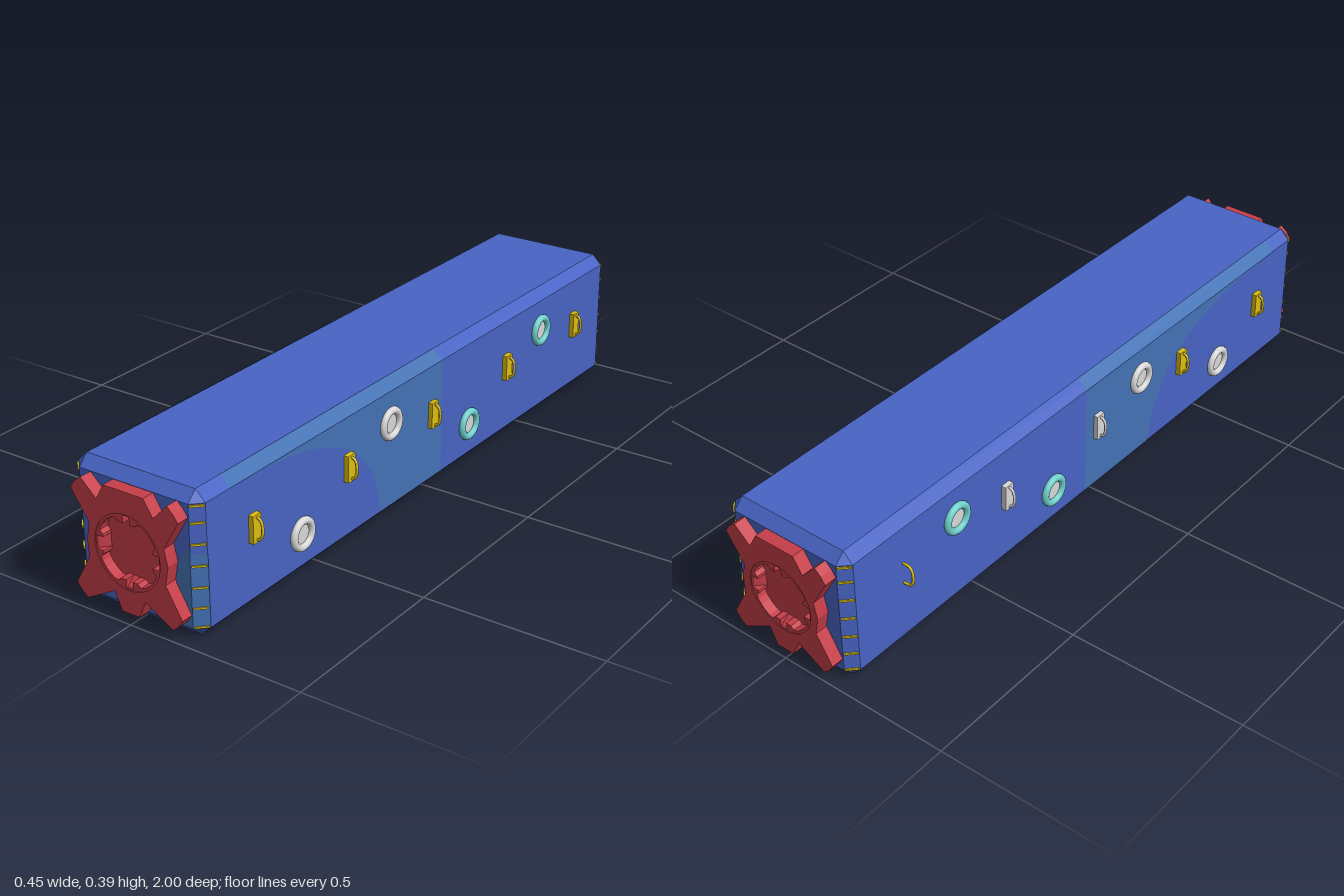
import * as THREE from 'three';
import { ConvexGeometry } from 'three/addons/geometries/ConvexGeometry.js';

const mat = (name, color, side = THREE.FrontSide) => {
  const m = new THREE.MeshStandardMaterial({ color, side });
  m.name = name;
  return m;
};

export function createModel() {
  const blue = mat('blue', 0x4864c4);
  const tealBlue = mat('tealBlue', 0x4472b4, THREE.DoubleSide);
  const red = mat('red', 0xc63e48);
  const yellow = mat('yellow', 0xdcbe10);
  const white = mat('white', 0xd8d8d8);
  const aqua = mat('aqua', 0x70d0cc);

  const model = new THREE.Group();
  model.name = 'container';
  const add = (parent, name, geo, m, x = 0, y = 0, z = 0) => {
    const mesh = new THREE.Mesh(geo, m);
    mesh.name = name;
    mesh.position.set(x, y, z);
    parent.add(mesh);
    return mesh;
  };

  // Body: box with every edge and corner chamfered
  const X = 0.193, Y = 0.192, Z = 0.965, C = 0.028, CY = 0.195;
  const pts = [];
  for (const sx of [-1, 1]) for (const sy of [-1, 1]) for (const sz of [-1, 1]) {
    pts.push(
      new THREE.Vector3(sx * X, sy * (Y - C), sz * (Z - C)),
      new THREE.Vector3(sx * (X - C), sy * Y, sz * (Z - C)),
      new THREE.Vector3(sx * (X - C), sy * (Y - C), sz * Z));
  }
  add(model, 'body', new ConvexGeometry(pts), blue, 0, CY, 0);

  // Tinted paint on the sides and on the chamfers next to them
  const quad = (...p) => {
    const g = new THREE.BufferGeometry().setFromPoints(p.map(a => new THREE.Vector3(...a)));
    g.setIndex([0, 1, 2, 0, 2, 3]);
    g.computeVertexNormals();
    return g;
  };
  const tint = new THREE.Shape();
  tint.moveTo(0.05, 0.032);
  tint.lineTo(0.05, 0.358);
  tint.lineTo(-0.8, 0.358);
  tint.bezierCurveTo(-0.45, 0.36, -0.26, 0.25, -0.24, 0.032);
  const e = 0.0015;
  for (const s of [-1, 1]) {
    const g = new THREE.ShapeGeometry(tint, 16);
    g.rotateY(Math.PI / 2);
    if (s < 0) g.rotateY(Math.PI).scale(1, 1, -1);
    if (s < 0) g.setIndex(Array.from(g.index.array).reverse());
    add(model, 'sideTint', g, tealBlue, s * (X + e), 0, 0);
    const a = [s * (X + e), 0.36], b = [s * (X - C + e), 0.388];
    const q = [[...a, 0.85], [...a, -0.05], [...b, -0.05], [...b, 0.85]];
    add(model, 'edgeTint', quad(...(s > 0 ? q : q.reverse())), tealBlue);
  }
  add(model, 'frontTint', quad([0.1, 0.032, Z + e], [0.165, 0.032, Z + e],
    [0.165, 0.25, Z + e], [0.13, 0.2, Z + e]), tealBlue);
  add(model, 'cornerTint', quad([0.165, 0.032, Z + e], [X + e, 0.032, Z - C],
    [X + e, 0.23, Z - C], [0.165, 0.23, Z + e]), tealBlue);

  // End caps: star-shaped plate, recessed socket and four grooved lugs
  const cy = 0.198;
  const outline = [
    [-0.06, 0.358], [-0.084, 0.315], [-0.13, 0.358], [-0.15, 0.343], [-0.164, 0.322],
    [-0.112, 0.245], [-0.121, 0.2], [-0.119, 0.149], [-0.164, 0.068], [-0.15, 0.049],
    [-0.132, 0.034], [-0.044, 0.082], [-0.023, 0.034], [0.03, 0.034], [0.052, 0.082],
    [0.133, 0.034], [0.15, 0.049], [0.163, 0.069], [0.117, 0.149], [0.127, 0.2],
    [0.117, 0.245], [0.163, 0.324], [0.15, 0.343], [0.132, 0.36], [0.089, 0.315], [0.062, 0.358],
  ].map(p => new THREE.Vector2(...p));
  const plate = new THREE.Shape(outline);
  plate.holes.push(new THREE.Path().absarc(0.003, cy, 0.1, 0, Math.PI * 2, true));

  const lugRing = new THREE.Shape().absarc(0, 0, 0.1005, 0, Math.PI * 2, false);
  const inner = [];
  for (let k = 0; k < 4; k++) {
    const w = k % 2 ? 0.01 : 0.018;
    const lug = [[0.084, -0.035], [0.075, -0.026], [0.075, -w], [0.096, -w],
      [0.096, w], [0.075, w], [0.075, 0.026], [0.084, 0.035]];
    for (let i = 1; i < 5; i++) {
      const t = Math.PI / 4 * (i / 5 - 0.5) * 1.1 + Math.PI / 4;
      lug.push([0.093 * Math.cos(t), 0.093 * Math.sin(t)]);
    }
    for (const p of lug) inner.push(new THREE.Vector2(...p).rotateAround(new THREE.Vector2(), k * Math.PI / 2));
  }
  lugRing.holes.push(new THREE.Path(inner));

  const extrude = (shape, depth) =>
    new THREE.ExtrudeGeometry(shape, { depth, bevelEnabled: false, curveSegments: 24 });
  for (const turn of [0, Math.PI]) {
    const cap = new THREE.Group();
    cap.name = turn ? 'backCap' : 'frontCap';
    cap.rotation.y = turn;
    add(cap, 'starPlate', extrude(plate, 0.045), red, 0, 0, 0.955);
    add(cap, 'lugRing', extrude(lugRing, 0.038), red, 0.003, cy, 0.96);
    add(cap, 'socketFloor', new THREE.CircleGeometry(0.1, 40), red, 0.003, cy, 0.97);
    for (let k = 0; k < 4; k++) {
      // Sloping floor inside each lug groove
      const w = k % 2 ? 0.01 : 0.018;
      const ramp = new THREE.Shape([[0.075, 0.97], [0.097, 0.97], [0.097, 0.995]]
        .map(p => new THREE.Vector2(...p)));
      const g = extrude(ramp, 2 * w);
      g.translate(0, 0, -w).rotateX(Math.PI / 2).rotateZ(k * Math.PI / 2);
      add(cap, 'grooveRamp', g, red, 0.003, cy, 0);
    }
    model.add(cap);
  }

  // Hinge strips across the four vertical chamfers
  for (const sx of [-1, 1]) for (const sz of [-1, 1]) {
    for (const y of [0.036, 0.087, 0.141, 0.198, 0.254, 0.31, 0.354]) {
      const strip = add(model, 'hingeStrip', new THREE.BoxGeometry(0.036, 0.005, 0.008), yellow,
        sx * (X - C / 2), y, sz * (Z - C / 2));
      strip.rotation.y = sx * sz * Math.PI / 4;
    }
  }

  // Side fittings
  const loopPath = new THREE.CatmullRomCurve3([
    [0, -0.03], [0.02, -0.028], [0.028, -0.016], [0.028, 0.016], [0.02, 0.028], [0, 0.03],
  ].map(([x, y]) => new THREE.Vector3(x, y, 0)));
  const loopGeo = new THREE.TubeGeometry(loopPath, 20, 0.004, 6);
  const ringGeo = new THREE.TorusGeometry(0.036, 0.0105, 10, 32);
  ringGeo.rotateY(Math.PI / 2);

  for (const s of [-1, 1]) {
    const side = new THREE.Group();
    side.name = s > 0 ? 'leftFittings' : 'rightFittings';
    // Round portholes
    [[0.58, 0.12, white], [0.195, 0.27, white], [-0.19, 0.12, aqua], [-0.575, 0.27, aqua]]
      .forEach(([z, y, m]) => {
        add(side, 'portRing', ringGeo, m, s * 0.197, y, z);
        const disc = add(side, 'portGlass', new THREE.CircleGeometry(0.032, 24), white, s * 0.196, y, z);
        disc.rotation.y = s * Math.PI / 2;
      });
    // Clips with a back plate and a loop handle
    [0.77, 0.385, 0, -0.385, -0.77].forEach((z, i) => {
      const m = s < 0 && (i === 2 || i === 3) ? white : yellow;
      if (s > 0 || i < 4) {
        add(side, 'clipPlate', new THREE.BoxGeometry(0.016, 0.074, 0.03), m, s * 0.199, 0.223, z);
      }
      const loop = add(side, 'clipLoop', loopGeo, m, s * 0.193, 0.223, z);
      if (s < 0) loop.rotation.y = Math.PI;
    });
    model.add(side);
  }
  return model;
}
